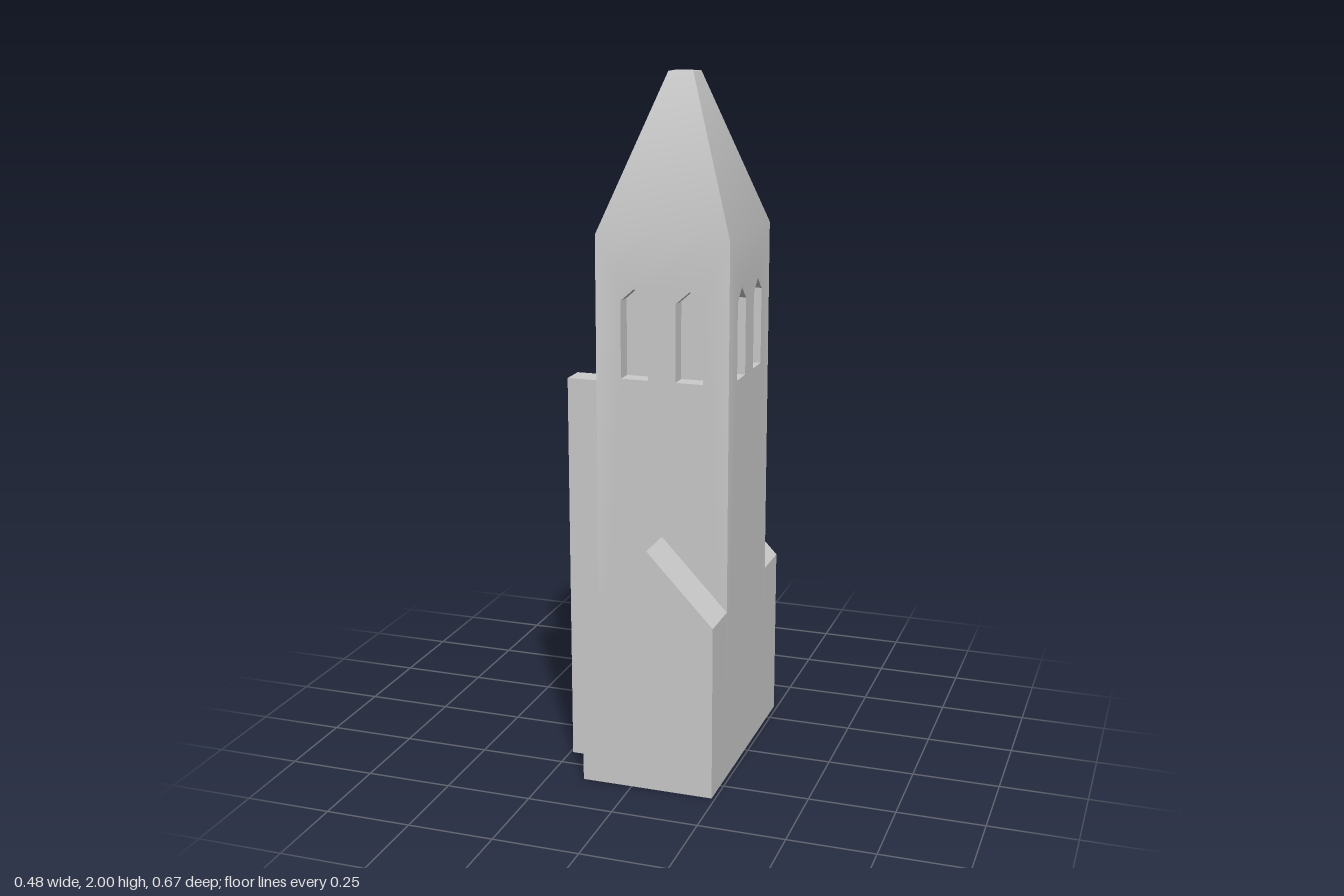
import * as THREE from 'three';
import { mergeGeometries, toCreasedNormals } from 'three/addons/utils/BufferGeometryUtils.js';

const CX = 0.0465, HX = 0.1935, HZ = 0.2; // tower centre and half sizes
const EAVE = 1.565, TOP = 2, CAP = 0.036;
const DEPTH = 0.05; // niche depth
const DOOR = { half: 0.05, spring: 0.14, peak: 0.19 };

const vec = (pts) => pts.map(([x, y]) => new THREE.Vector2(x, y));

// Pointed opening, counter-clockwise from its lower left corner
const pointedArch = (u, half, bottom, spring, peak) =>
  vec([[u - half, bottom], [u + half, bottom], [u + half, spring], [u, peak], [u - half, spring]]);

function quad(a, b, c, d) {
  const g = new THREE.BufferGeometry();
  g.setAttribute('position', new THREE.Float32BufferAttribute([a, b, c, a, c, d].flat(), 3));
  return g;
}

function flatShape(shape, z) {
  const g = new THREE.ShapeGeometry(shape).toNonIndexed();
  g.deleteAttribute('uv');
  g.deleteAttribute('normal');
  return g.translate(0, 0, z);
}

// Side and back faces of a recess in the plane z = d
function niche(pts, d, openBottom) {
  const parts = [flatShape(new THREE.Shape(pts), d - DEPTH)];
  pts.forEach((p, i) => {
    if (openBottom && i === 0) return;
    const q = pts[(i + 1) % pts.length];
    parts.push(quad([p.x, p.y, d], [q.x, q.y, d], [q.x, q.y, d - DEPTH], [p.x, p.y, d - DEPTH]));
  });
  return parts;
}

// One tower side: wall with two window niches, and its spire panel
function towerSide(w, d, hasDoor) {
  const { half, spring, peak } = DOOR;
  const notch = hasDoor ? [[-half, 0], [-half, spring], [0, peak], [half, spring], [half, 0]] : [];
  const wall = new THREE.Shape(vec([[-w, 0], ...notch, [w, 0], [w, EAVE], [-w, EAVE]]));
  const parts = [];
  for (const u of [-0.08, 0.08]) {
    const win = pointedArch(u, 0.04, 1.165, 1.385, 1.42);
    wall.holes.push(new THREE.Path(win));
    parts.push(...niche(win, d, false));
  }
  if (hasDoor) parts.push(...niche(pointedArch(0, half, 0, spring, peak), d, true));
  parts.push(flatShape(wall, d));
  parts.push(quad([-w, EAVE, d], [w, EAVE, d], [CAP, TOP, CAP], [-CAP, TOP, CAP]));
  // Wall blends softly into the spire; other edges stay sharp
  return toCreasedNormals(mergeGeometries(parts), 0.5);
}

export function createModel() {
  const model = new THREE.Group();
  const stone = new THREE.MeshStandardMaterial({ color: 0xcccccc });
  stone.name = 'stone grey';

  const add = (parent, name, geometry, x = 0, y = 0, z = 0) => {
    const mesh = new THREE.Mesh(geometry, stone);
    mesh.name = name;
    mesh.position.set(x, y, z);
    parent.add(mesh);
    return mesh;
  };

  // Tower with spire
  const tower = new THREE.Group();
  tower.name = 'tower';
  tower.position.x = CX;
  model.add(tower);
  ['frontSide', 'leftSide', 'backSide', 'rightSide'].forEach((name, i) => {
    const [w, d] = i % 2 ? [HZ, HX] : [HX, HZ];
    add(tower, name, towerSide(w, d, i === 3)).rotation.y = i * Math.PI / 2;
  });
  add(tower, 'spireCap', new THREE.PlaneGeometry(2 * CAP, 2 * CAP).rotateX(-Math.PI / 2), 0, TOP, 0);

  // Underside, cut away at the doorway
  const h = DOOR.half;
  const floor = new THREE.Shape(vec([
    [-HX, -HZ], [HX, -HZ], [HX, HZ], [-HX, HZ],
    [-HX, h], [-HX + DEPTH, h], [-HX + DEPTH, -h], [-HX, -h],
  ]));
  add(tower, 'underside', new THREE.ShapeGeometry(floor).rotateX(Math.PI / 2));

  // Gabled wings at front and back
  const gable = new THREE.Shape(vec([[-HX, 0], [HX, 0], [HX, 0.51], [0, 0.715], [-HX, 0.51]]));
  const wing = new THREE.ExtrudeGeometry(gable, { depth: 0.135, bevelEnabled: false });
  add(model, 'frontWing', wing, CX, 0, HZ);
  add(model, 'backWing', wing, CX, 0, -HZ - 0.135);

  // Tall buttresses on the right side
  const buttress = new THREE.BoxGeometry(0.096, 1.15, 0.078);
  add(model, 'frontButtress', buttress, -0.194, 0.575, 0.14);
  add(model, 'backButtress', buttress, -0.194, 0.575, -0.146);

  return model;
}
